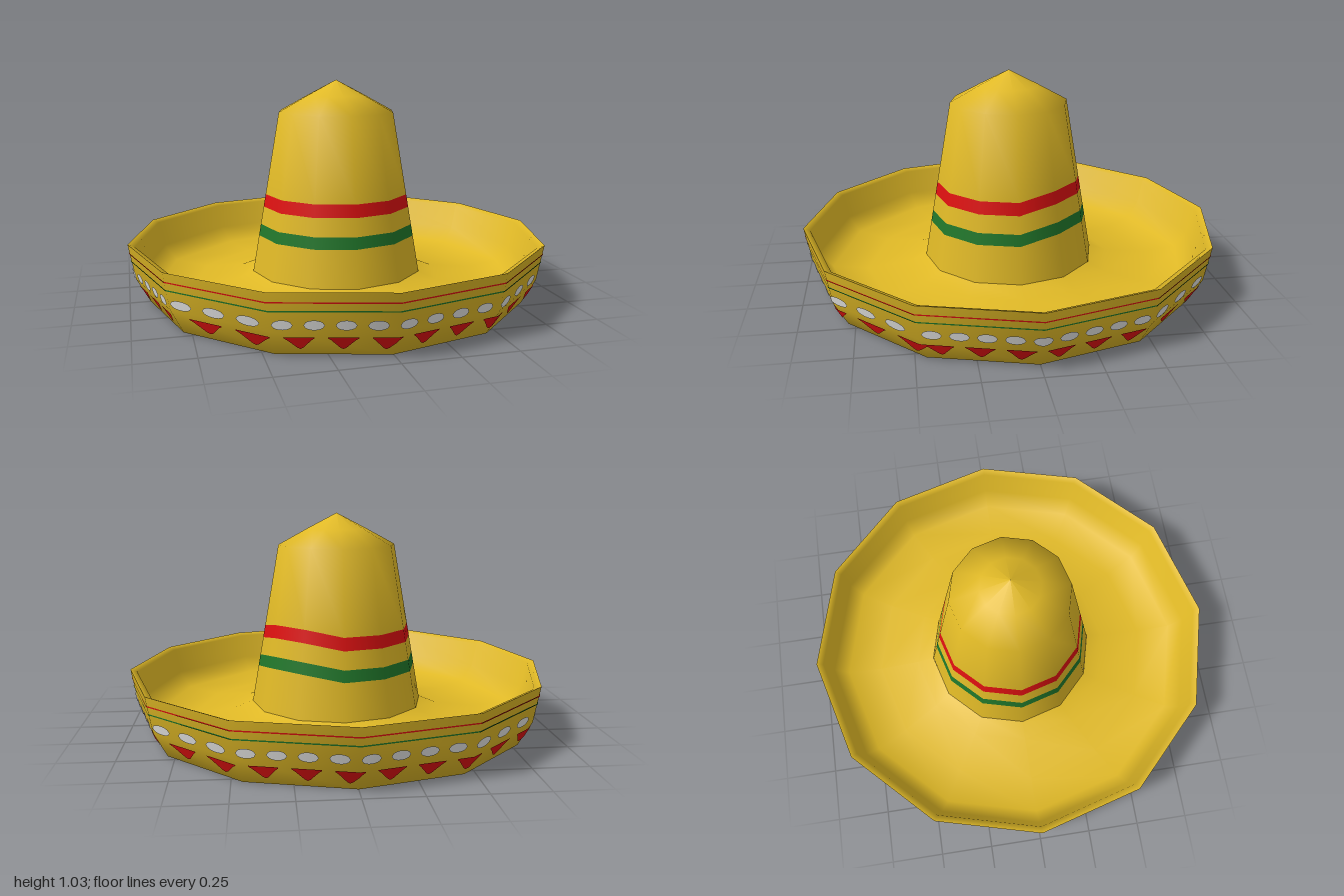
import * as THREE from 'three';

const SIDES = 12;
const mat = (name, color) =>
  new THREE.MeshStandardMaterial({ name, color, side: THREE.DoubleSide });

export function createModel() {
  const hat = new THREE.Group();
  hat.name = 'wideBrimHat';
  const straw = mat('straw yellow', 0xe0b926);
  const red = mat('red', 0xdc1010);
  const green = mat('green', 0x20762a);
  const white = mat('white', 0xe8e8e6);

  const add = (name, geometry, material, parent = hat) => {
    const mesh = new THREE.Mesh(geometry, material);
    mesh.name = name;
    parent.add(mesh);
    return mesh;
  };
  const lathe = (points) =>
    new THREE.LatheGeometry(points.map(([r, y]) => new THREE.Vector2(r, y)), SIDES);

  // Brim: underside with outer wall, then the dished top
  add('brimOuter', lathe([
    [0.415, 0.11], [0.43, 0.05], [0.5, 0.02], [0.8, 0], [0.905, 0],
    [0.968, 0.115], [1, 0.283],
  ]), straw);
  add('brimTop', lathe([
    [1, 0.283], [0.968, 0.27], [0.935, 0.15], [0.87, 0.075],
    [0.7, 0.055], [0.5, 0.08], [0.415, 0.115],
  ]), straw);

  // Crown: stacked rings of one cone; the bands lift a little at the back
  const crownR = (y) => 0.28 + (0.88 - y) * 0.175;
  const lift = (x, z) => {
    const deg = THREE.MathUtils.radToDeg(Math.atan2(x, z));
    return deg > 100 && deg < 170 ? 0.03 : 0;
  };
  const crownPiece = (name, ys, material, tip) => {
    const points = ys.map((y) => [crownR(y), y]);
    if (tip) points.push([0.14, 0.957], [0, 1.03]);
    const geo = lathe(points);
    const p = geo.attributes.position;
    for (let i = 0; i < p.count; i++) {
      const y = p.getY(i);
      if (y < 0.28 || y > 0.5) continue;
      const y2 = y + lift(p.getX(i), p.getZ(i));
      const k = crownR(y2) / crownR(y);
      p.setXYZ(i, p.getX(i) * k, y2, p.getZ(i) * k);
    }
    add(name, geo, material);
  };
  crownPiece('crownBase', [0.11, 0.29], straw);
  crownPiece('greenBand', [0.29, 0.345], green);
  crownPiece('crownMiddle', [0.345, 0.43], straw);
  crownPiece('redBand', [0.43, 0.49], red);
  crownPiece('crownTop', [0.49, 0.88], straw, true);

  // Outer wall of the brim: radius by height, and a point at facet position f
  const wallR = (y) => (y < 0.115
    ? 0.905 + (0.063 * y) / 0.115
    : 0.968 + (0.032 * (y - 0.115)) / 0.168);
  const wallPoint = (f, y) => {
    const k = Math.floor(f);
    const a = (k * Math.PI * 2) / SIDES;
    const b = ((k + 1) * Math.PI * 2) / SIDES;
    const r = wallR(y) + 0.005;
    return new THREE.Vector3(
      r * THREE.MathUtils.lerp(Math.sin(a), Math.sin(b), f - k), y,
      r * THREE.MathUtils.lerp(Math.cos(a), Math.cos(b), f - k));
  };

  // Thin trim lines below the rim
  const trim = (name, y, material) => add(name, lathe(
    [[wallR(y - 0.003) + 0.003, y - 0.003], [wallR(y + 0.003) + 0.003, y + 0.003]]), material);
  trim('redTrimLine', 0.24, red);
  trim('greenTrimLine', 0.203, green);

  // Painted patch on the wall, built from columns between lower and upper edges
  const patch = (toFacet, centre, halfWidth, low, high) => {
    const cols = 10, pos = [], nor = [], index = [];
    for (let i = 0; i <= cols; i++) {
      const u = (i / cols) * 2 - 1;
      const f = toFacet(centre + u * halfWidth);
      for (const y of [low(u), high(u)]) {
        const p = wallPoint(f, y);
        const n = new THREE.Vector3(p.x, 0, p.z).normalize();
        n.y = y < 0.115 ? -0.4 : -0.25;
        n.normalize();
        pos.push(p.x, p.y, p.z);
        nor.push(n.x, n.y, n.z);
      }
      if (i < cols) {
        const a = i * 2;
        index.push(a, a + 2, a + 1, a + 2, a + 3, a + 1);
      }
    }
    const geo = new THREE.BufferGeometry();
    geo.setAttribute('position', new THREE.Float32BufferAttribute(pos, 3));
    geo.setAttribute('normal', new THREE.Float32BufferAttribute(nor, 3));
    geo.setIndex(index);
    return geo;
  };

  const triangles = new THREE.Group();
  triangles.name = 'redTriangles';
  const dots = new THREE.Group();
  dots.name = 'whiteDots';
  hat.add(triangles, dots);
  const addTriangle = (map, c) => add('redTriangle', patch(map, c, 0.058,
    (u) => Math.min(0.085, 0.03 + 0.065 * Math.max(0, Math.abs(u) - 0.1)), () => 0.09), red, triangles);
  const addDot = (map, c) => {
    const h = (u) => 0.021 * Math.sqrt(Math.max(0, 1 - u * u));
    add('whiteDot', patch(map, c, 0.039, (u) => 0.145 - h(u), (u) => 0.145 + h(u)), white, dots);
  };

  // Front and back each cover four facets, the two sides cover two each
  const wide = (x) => {
    const a = Math.abs(x);
    return Math.sign(x) * (a < 0.475 ? a / 0.475 : 1 + (a - 0.475) / 0.348);
  };
  for (const start of [0, 6]) {
    const map = (x) => start + wide(x);
    for (let i = 0; i < 10; i++) addTriangle(map, -0.7 + 0.166 * i);
    for (let i = 0; i < 14; i++) addDot(map, -0.775 + 0.1165 * i);
  }
  for (const start of [3, 9]) {
    const map = (z) => start + z / 0.475;
    for (let i = 0; i < 6; i++) addTriangle(map, -0.4 + 0.16 * i);
    for (let i = 0; i < 9; i++) addDot(map, -0.42 + 0.105 * i);
  }
  return hat;
}
